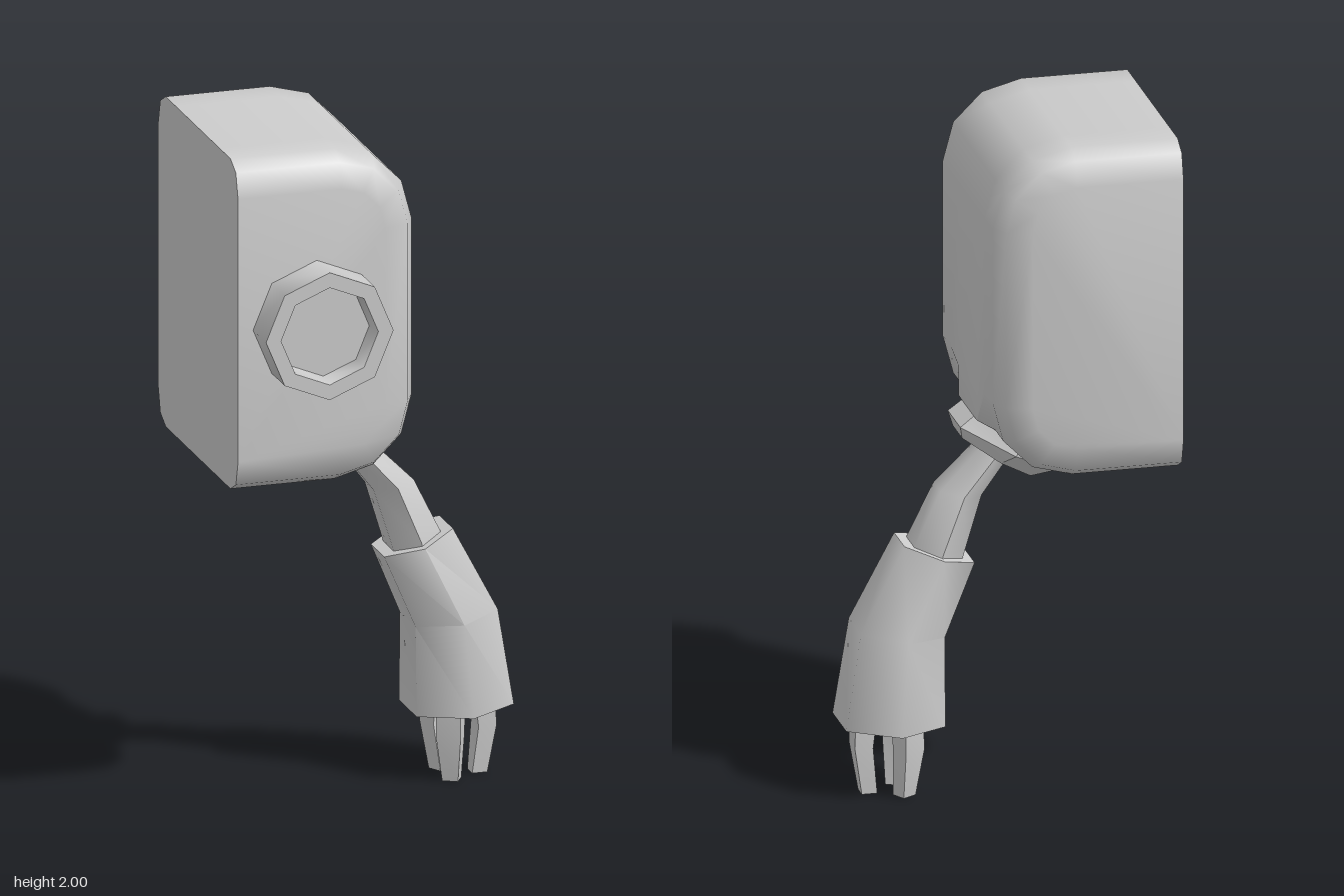
import * as THREE from 'three';
import { toCreasedNormals } from 'three/addons/utils/BufferGeometryUtils.js';

const ZC = -0.06; // z of the body and arm centre plane
const material = new THREE.MeshStandardMaterial({ color: 0xcccccc });

function addMesh(parent, name, geometry, crease) {
  const mesh = new THREE.Mesh(toCreasedNormals(geometry, THREE.MathUtils.degToRad(crease)), material);
  mesh.name = name;
  parent.add(mesh);
  return mesh;
}

// Closed skin over rings; each ring runs counter-clockwise seen from the start
function loft(rings) {
  const n = rings[0].length;
  const index = [];
  for (let i = 0; i < rings.length - 1; i++) {
    for (let j = 0; j < n; j++) {
      const k = (j + 1) % n;
      const a = i * n + j, b = i * n + k;
      index.push(a, a + n, b + n, a, b + n, b);
    }
  }
  const last = (rings.length - 1) * n;
  for (let j = 1; j < n - 1; j++) {
    index.push(0, j, j + 1, last, last + j + 1, last + j);
  }
  const geometry = new THREE.BufferGeometry();
  geometry.setAttribute('position', new THREE.Float32BufferAttribute(rings.flat(2), 3));
  geometry.setIndex(index);
  return geometry;
}

// Half-body outline, inset by d; m blends the lower corner into the arm mount
function bodyRing(z, d, m) {
  const mount = [[-0.17, 0.995], [-0.045, 1.05], [0.08, 1.13], [0.08, 1.22]];
  const r = 0.23 - d;
  const ring = [[-0.46, 1.015 + d, z]];
  for (let i = 0; i < 4; i++) {
    const a = (i * Math.PI) / 6;
    const x = -0.15 + r * Math.sin(a), y = 1.245 - r * Math.cos(a);
    ring.push([x + (mount[i][0] - x) * m, y + (mount[i][1] - y) * m, z]);
  }
  for (let i = 0; i < 4; i++) {
    const a = (i * Math.PI) / 6;
    ring.push([-0.15 + r * Math.cos(a), 1.77 + r * Math.sin(a), z]);
  }
  ring.push([-0.46, 2 - d, z]);
  return ring;
}

// Six-sided ring between a left and a right point, w wide to each side in z
function hexRing([lx, ly, rx, ry, w]) {
  const mx = (lx + rx) / 2, my = (ly + ry) / 2;
  return [
    [rx, ry, ZC + w / 2], [rx, ry, ZC - w / 2], [mx, my, ZC - w],
    [lx, ly, ZC - w / 2], [lx, ly, ZC + w / 2], [mx, my, ZC + w],
  ];
}

export function createModel() {
  const model = new THREE.Group();
  model.name = 'halfBodyWithArm';

  // Rounded body, cut flat on one side
  const half = [[0.37, 0.1, 0], [0.35, 0.027, 0], [0.3, 0, 0], [0.2, 0, 0], [0.11, 0, 1]];
  const slices = [...half, ...half.map(([z, d, m]) => [-z, d, m]).reverse()];
  addMesh(model, 'body', loft(slices.map(([z, d, m]) => bodyRing(ZC + z, d, m))), 50);

  // Eye tube with a recessed floor
  const eyeProfile = [[0.19, -0.02], [0.19, 0.12], [0.145, 0.12], [0.137, 0.06], [0, 0.06]]
    .map(([r, y]) => new THREE.Vector2(r, y));
  const eye = addMesh(model, 'eye', new THREE.LatheGeometry(eyeProfile, 8), 50);
  eye.rotation.x = Math.PI / 2;
  eye.position.set(-0.225, 1.505, 0.31);

  // Shoulder collar
  addMesh(model, 'shoulderCollar', loft([
    [-0.17, 0.99, 0.08, 1.13, 0.145],
    [-0.17, 0.95, 0.12, 1.1, 0.15],
    [-0.09, 0.93, 0.11, 1.06, 0.11],
  ].map(hexRing)), 20);

  // Bent upper arm
  addMesh(model, 'upperArm', loft([
    [-0.06, 1.02, 0.04, 1.06, 0.06],
    [-0.03, 0.985, 0.06, 1.01, 0.068],
    [0.05, 0.88, 0.17, 0.9, 0.085],
    [0.1, 0.72, 0.25, 0.735, 0.098],
    [0.12, 0.65, 0.26, 0.68, 0.1],
  ].map(hexRing)), 62);

  // Flared sleeve, hollow at the wrist
  addMesh(model, 'sleeve', loft([
    [0.075, 0.685, 0.28, 0.75, 0.125],
    [0.165, 0.47, 0.41, 0.5, 0.147],
    [0.165, 0.205, 0.455, 0.215, 0.165],
    [0.18, 0.205, 0.44, 0.215, 0.148],
    [0.19, 0.28, 0.43, 0.28, 0.135],
  ].map(hexRing)), 62);

  // Three fingers around the wrist
  const hand = new THREE.Group();
  hand.name = 'hand';
  hand.position.set(0.31, 0, ZC);
  model.add(hand);
  // y, inner radius, outer radius, half width
  const fingerRings = [
    [0.3, 0.035, 0.105, 0.034],
    [0.14, 0.055, 0.108, 0.036],
    [0, 0.04, 0.085, 0.023],
  ].map(([y, i, o, h]) => [[o, y, h], [o, y, -h], [i, y, -h], [i, y, h]]);
  for (let k = 0; k < 3; k++) {
    const finger = addMesh(hand, 'finger', loft(fingerRings), 20);
    finger.rotation.y = (k * Math.PI * 2) / 3;
  }

  return model;
}
